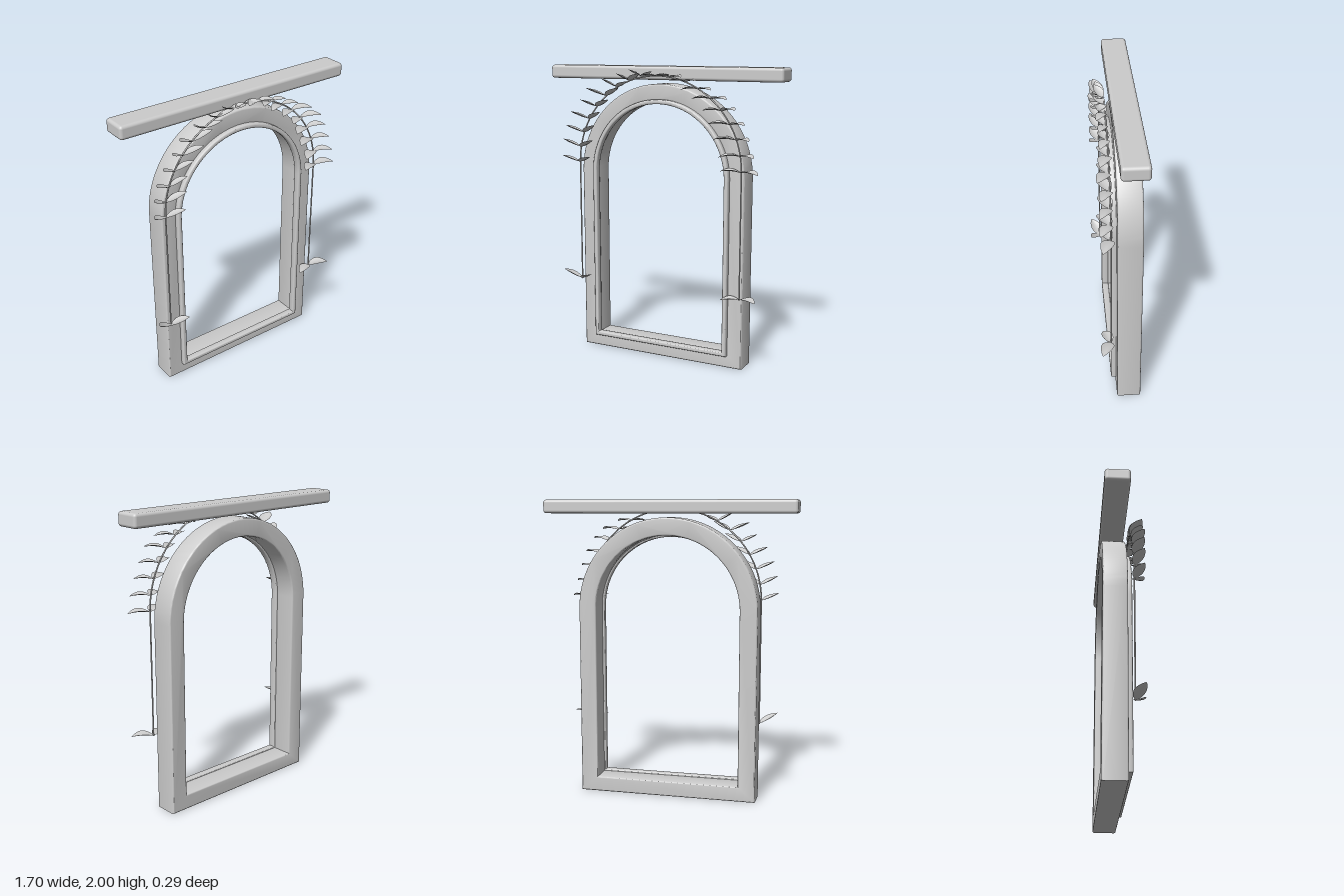
import * as THREE from 'three';
import { toCreasedNormals } from 'three/addons/utils/BufferGeometryUtils.js';
import { RoundedBoxGeometry } from 'three/addons/geometries/RoundedBoxGeometry.js';

const ARCH_Y = 1.28; // height where the frame's arch springs

// Arched outline with a flat sill; works for shapes and holes
function archPath(Type, half, bottom) {
  const p = new Type();
  p.moveTo(-half, bottom);
  p.lineTo(half, bottom);
  p.lineTo(half, ARCH_Y);
  p.absarc(0, ARCH_Y, half, 0, Math.PI, false);
  p.closePath();
  return p;
}

// Bevelled arched ring between z0 and z1
function archRing(outer, outerBottom, inner, innerBottom, z0, z1, bevel) {
  const shape = archPath(THREE.Shape, outer, outerBottom);
  shape.holes.push(archPath(THREE.Path, inner, innerBottom));
  const geo = new THREE.ExtrudeGeometry(shape, {
    depth: z1 - z0 - 2 * bevel, curveSegments: 40, bevelEnabled: true,
    bevelThickness: bevel, bevelSize: bevel, bevelOffset: -bevel, bevelSegments: 3,
  });
  geo.translate(0, 0, z0 + bevel);
  return toCreasedNormals(geo, 0.7);
}

// Pointed leaf along +x, cupped across its width and drooping at the tip
function leafGeometry(droop) {
  const geo = new THREE.PlaneGeometry(1, 1, 10, 4);
  const pos = geo.attributes.position;
  for (let i = 0; i < pos.count; i++) {
    const u = pos.getX(i) + 0.5, v = pos.getY(i) * 2;
    const w = 0.27 * Math.pow(Math.sin(Math.PI * Math.pow(u, 0.85)), 0.8) + 0.012;
    pos.setXYZ(i, u, 0.1 * v * v * Math.sin(Math.PI * u) + droop * (u - u * u), -v * w);
  }
  geo.computeVertexNormals();
  return geo;
}

export function createModel() {
  const group = new THREE.Group();
  const stone = new THREE.MeshStandardMaterial({ color: 0xcccccc });
  const foliage = new THREE.MeshStandardMaterial({ color: 0xcccccc, side: THREE.DoubleSide });
  stone.name = 'pale grey';
  foliage.name = 'pale grey leaf';

  const add = (name, geo, mat, parent = group) => {
    const mesh = new THREE.Mesh(geo, mat);
    mesh.name = name;
    parent.add(mesh);
    return mesh;
  };

  // Frame, raised trim and top beam
  add('archFrame', archRing(0.605, 0.005, 0.488, 0.108, -0.15, 0.01, 0.01), stone);
  add('innerTrim', archRing(0.505, 0.09, 0.475, 0.12, -0.005, 0.045, 0.01), stone);
  const beam = add('topBeam', new RoundedBoxGeometry(1.7, 0.09, 0.17, 4, 0.02), stone);
  beam.position.set(0, 1.955, -0.07);

  // Vine stem: two hanging ends joined by an arch
  const R = 0.6, VINE_Y = 1.34, VINE_Z = 0.05;
  const onArch = (a) => new THREE.Vector3(-R * Math.cos(a), VINE_Y + R * Math.sin(a), VINE_Z);
  const vine = new THREE.Group();
  vine.name = 'vine';
  group.add(vine);
  const points = [];
  for (let i = 0; i <= 32; i++) points.push(onArch((Math.PI * i) / 32));
  add('vineArch', new THREE.TubeGeometry(new THREE.CatmullRomCurve3(points), 96, 0.005, 8), foliage, vine);
  for (const s of [-1, 1]) {
    const stem = add('hangingStem', new THREE.CylinderGeometry(0.005, 0.005, 0.84, 8), foliage, vine);
    stem.position.set(s * R, 0.92, VINE_Z);
  }

  // Seeded variation for the leaves
  let seed = 11;
  const rand = () => (seed = (seed * 16807) % 2147483647) / 2147483647;

  const straightLeaf = leafGeometry(-0.15);
  const archedLeaf = leafGeometry(0.22);

  // A leaf from base towards direction dir, blade roughly level
  function addLeaf(base, dir, length, geo) {
    const x = dir.clone().normalize();
    const z = new THREE.Vector3().crossVectors(x, new THREE.Vector3(0, 1, 0)).normalize();
    const y = new THREE.Vector3().crossVectors(z, x);
    const leaf = add('leaf', geo, foliage, vine);
    leaf.quaternion.setFromRotationMatrix(new THREE.Matrix4().makeBasis(x, y, z));
    leaf.position.copy(base);
    leaf.scale.setScalar(length);
  }

  // Pair of leaves: lifted on the right-hand half, level and arched on the other
  function addPair(base, t) {
    const lift = t < 0.5 ? 0.5 : 0.04;
    const geo = t < 0.55 ? straightLeaf : archedLeaf;
    for (const s of [-1, 1]) {
      const dir = new THREE.Vector3(s, lift + (rand() - 0.5) * 0.16, 0.4 + rand() * 0.25);
      const nearTop = Math.abs(t - 0.5) < 0.22;
      addLeaf(base, dir, (nearTop ? 0.1 : 0.125) + rand() * 0.025, geo);
    }
  }

  const STATIONS = 18;
  for (let i = 0; i <= STATIONS; i++) addPair(onArch((Math.PI * i) / STATIONS), i / STATIONS);
  addPair(new THREE.Vector3(-R, 0.505, VINE_Z), 0);
  addPair(new THREE.Vector3(R, 0.505, VINE_Z), 1);

  return group;
}
